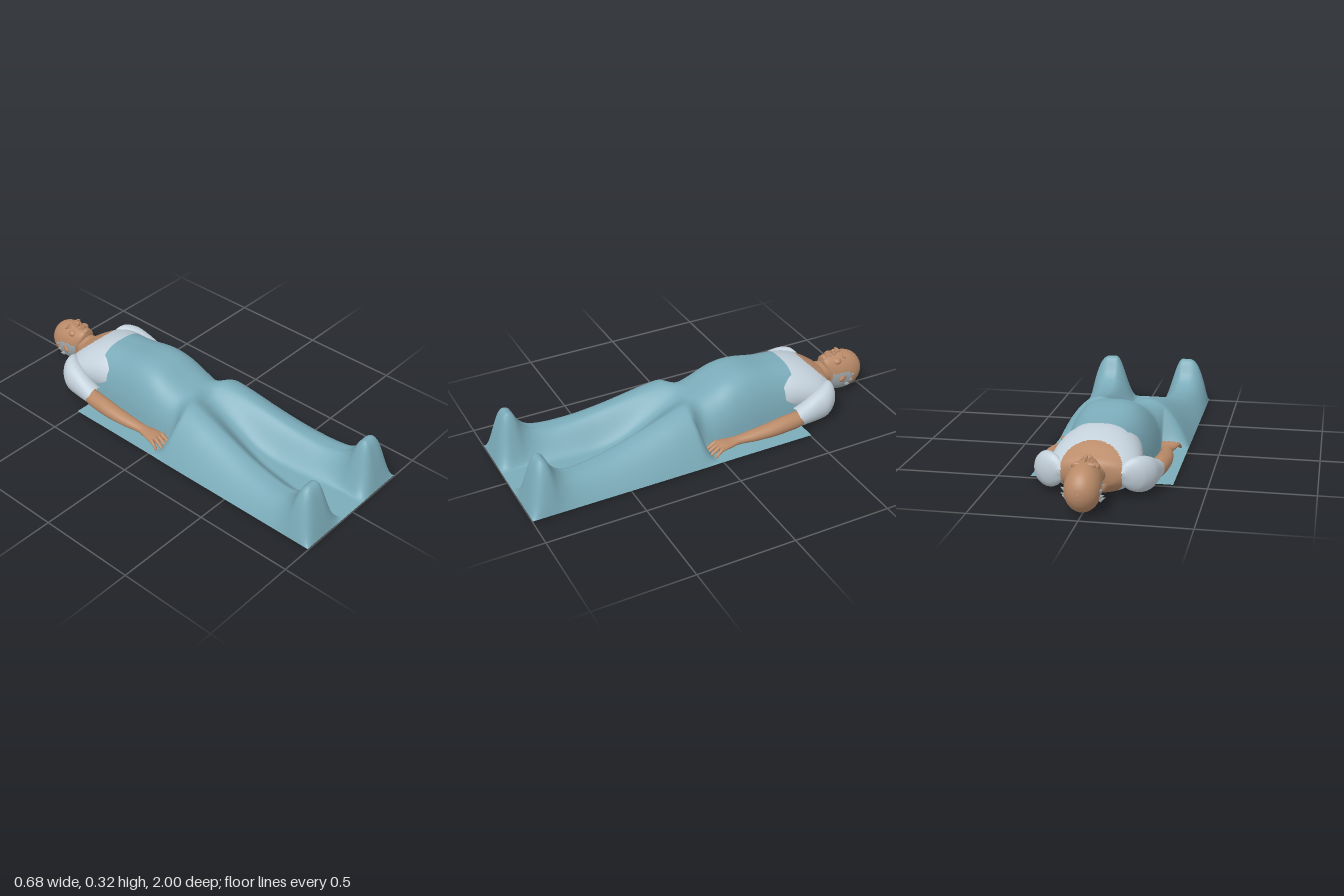
import * as THREE from 'three';

const { smoothstep, lerp } = THREE.MathUtils;
const mat = (name, color) => {
  const m = new THREE.MeshStandardMaterial({ color, side: THREE.DoubleSide });
  m.name = name;
  return m;
};

// Smooth lookup in rows of [z, value, value, ...] sorted by z
function at(rows, z) {
  const last = rows.length - 1;
  let i = 0;
  while (i < last - 1 && z > rows[i + 1][0]) i++;
  const a = rows[i], b = rows[i + 1], p = rows[Math.max(i - 1, 0)], q = rows[Math.min(i + 2, last)];
  const h = b[0] - a[0], t = Math.min(1, Math.max(0, (z - a[0]) / h));
  return a.slice(1).map((va, k) => {
    const vb = b[k + 1];
    const ma = (vb - p[k + 1]) / (b[0] - p[0]) * h, mb = (q[k + 1] - va) / (q[0] - a[0]) * h;
    const t2 = t * t, t3 = t2 * t;
    return (2 * t3 - 3 * t2 + 1) * va + (t3 - 2 * t2 + t) * ma + (3 * t2 - 2 * t3) * vb + (t3 - t2) * mb;
  });
}

// Skin of ellipses along z from rows [z, centreX, centreY, radiusX, radiusY]; rule picks a material per face
function loft(name, rows, mats, { side = 1, sub = 5, n = 32, rule = null } = {}) {
  const pos = [], lists = [[], []], rings = (rows.length - 1) * sub;
  for (let r = 0; r <= rings; r++) {
    const i = Math.min(Math.floor(r / sub), rows.length - 2);
    const z = lerp(rows[i][0], rows[i + 1][0], r / sub - i);
    const [cx, cy, rx, ry] = at(rows, z);
    for (let j = 0; j < n; j++) {
      const a = j / n * Math.PI * 2;
      pos.push(cx * side + Math.max(rx, 0.001) * Math.cos(a), cy + Math.max(ry, 0.001) * Math.sin(a), z);
    }
  }
  const put = (...f) => {
    const c = [0, 1, 2].map(k => (pos[f[0] * 3 + k] + pos[f[1] * 3 + k] + pos[f[2] * 3 + k]) / 3);
    lists[rule && rule(...c) ? 1 : 0].push(...f);
  };
  for (let r = 0; r < rings; r++) for (let j = 0; j < n; j++) {
    const k = (j + 1) % n, a = r * n + j, b = r * n + k;
    put(a, b, b + n);
    put(a, b + n, a + n);
  }
  const g = new THREE.BufferGeometry();
  g.setAttribute('position', new THREE.Float32BufferAttribute(pos, 3));
  g.setIndex(lists[0].concat(lists[1]));
  if (rule) {
    g.addGroup(0, lists[0].length, 0);
    g.addGroup(lists[0].length, lists[1].length, 1);
  }
  g.computeVertexNormals();
  const m = new THREE.Mesh(g, mats);
  m.name = name;
  return m;
}

function blob(name, m, [x, y, z], [sx, sy, sz]) {
  const mesh = new THREE.Mesh(new THREE.SphereGeometry(1, 20, 14), m);
  mesh.name = name;
  mesh.position.set(x, y, z);
  mesh.scale.set(sx, sy, sz);
  return mesh;
}

// Blanket: [z, height, half width] over the torso
const TORSO = [[-0.5, 0.29, 0.2], [-0.4, 0.298, 0.207], [-0.25, 0.322, 0.217], [-0.15, 0.31, 0.22],
  [-0.05, 0.267, 0.217], [0.02, 0.25, 0.205], [0.12, 0.245, 0.2]];
// [z, crest height, crest x, groove height, groove half width] over the legs
const LEGS = [[0, 0.25, 0.1, 0.24, 0], [0.1, 0.246, 0.12, 0.205, 0], [0.2, 0.226, 0.135, 0.155, 0], [0.3, 0.2, 0.145, 0.1, 0.005],
  [0.4, 0.174, 0.155, 0.05, 0.01], [0.5, 0.15, 0.168, 0.02, 0.02], [0.6, 0.133, 0.18, 0.01, 0.03], [0.72, 0.125, 0.195, 0.006, 0.045],
  [0.8, 0.14, 0.203, 0.006, 0.06], [0.85, 0.185, 0.206, 0.006, 0.07], [0.885, 0.254, 0.207, 0.006, 0.075],
  [0.925, 0.256, 0.207, 0.006, 0.075], [0.955, 0.185, 0.207, 0.006, 0.07], [1, 0.008, 0.207, 0.006, 0.06]];
const EDGE = 0.34;

function blanketHeight(x, z) {
  const ax = Math.abs(x);
  const [th, tw] = at(TORSO, z);
  const torso = 0.01 + (th - 0.01) * Math.sqrt(Math.max(0, 1 - (ax / tw) ** 3));
  if (z < 0) return torso;
  const [crest, cx, groove, gw] = at(LEGS, z);
  let leg;
  if (ax < cx) leg = lerp(groove, crest, smoothstep(ax, gw, cx - 0.2 * gw));
  else {
    const flat = cx + 0.02 * smoothstep(z, 0.5, 0.9);
    const t = Math.max(0, (ax - flat) / (EDGE - flat));
    leg = 0.008 + (crest - 0.008) * (1 - t ** lerp(2, 2.5, smoothstep(z, 0.3, 0.9)));
  }
  return lerp(torso, leg, smoothstep(z, 0.02, 0.11));
}

function makeBlanket(m) {
  const g = new THREE.PlaneGeometry(2 * EDGE, 1.5, 120, 140);
  g.rotateX(-Math.PI / 2);
  g.translate(0, 0, 0.25);
  const p = g.attributes.position;
  for (let i = 0; i < p.count; i++) p.setY(i, blanketHeight(p.getX(i), p.getZ(i)));
  g.computeVertexNormals();
  const mesh = new THREE.Mesh(g, m);
  mesh.name = 'blanket';
  return mesh;
}

function makeArm(side, skin, shirt) {
  const g = new THREE.Group();
  g.name = side > 0 ? 'leftArm' : 'rightArm';
  g.add(loft('sleeve', [[-0.73, 0.145, 0.125, 0.01, 0.01], [-0.715, 0.165, 0.12, 0.045, 0.05], [-0.69, 0.19, 0.115, 0.062, 0.078],
    [-0.64, 0.218, 0.105, 0.066, 0.085], [-0.58, 0.233, 0.095, 0.058, 0.075], [-0.52, 0.242, 0.083, 0.052, 0.06],
    [-0.46, 0.246, 0.072, 0.051, 0.048]], shirt, { side }));
  g.add(loft('forearm', [[-0.56, 0.24, 0.08, 0.035, 0.035], [-0.46, 0.258, 0.07, 0.042, 0.041], [-0.38, 0.266, 0.069, 0.043, 0.041],
    [-0.3, 0.269, 0.064, 0.041, 0.036], [-0.2, 0.263, 0.056, 0.035, 0.028], [-0.12, 0.255, 0.05, 0.027, 0.021],
    [-0.08, 0.254, 0.048, 0.035, 0.019], [-0.03, 0.257, 0.05, 0.045, 0.017], [-0.01, 0.258, 0.048, 0.042, 0.013],
    [0, 0.258, 0.046, 0.001, 0.001]], skin, { side }));
  // Fingers: [knuckle x, tip x, tip z]
  for (const [kx, tx, tz] of [[0.224, 0.222, 0.047], [0.246, 0.252, 0.055], [0.268, 0.28, 0.05], [0.289, 0.304, 0.03]]) {
    const row = (t, y, r) => [lerp(-0.03, tz, t), lerp(kx, tx, t), y, r, r];
    g.add(loft('finger', [row(0, 0.05, 0.01), row(0.35, 0.049, 0.0115), row(0.7, 0.035, 0.0095), row(0.94, 0.024, 0.007),
      row(1, 0.022, 0.001)], skin, { side, n: 12, sub: 3 }));
  }
  g.add(loft('thumb', [[-0.09, 0.235, 0.042, 0.014, 0.012], [-0.05, 0.217, 0.035, 0.015, 0.014], [-0.01, 0.2, 0.024, 0.012, 0.011],
    [0.025, 0.188, 0.016, 0.009, 0.008], [0.034, 0.186, 0.014, 0.001, 0.001]], skin, { side, n: 12, sub: 3 }));
  return g;
}

function makeHead(skin, hair) {
  const g = new THREE.Group();
  g.name = 'head';
  // Skull profile: [z, face y, back y, half width] from crown to chin
  const skull = [[-1, 0.118, 0.112, 0.002], [-0.996, 0.143, 0.086, 0.026], [-0.982, 0.172, 0.055, 0.051], [-0.955, 0.2, 0.026, 0.071],
    [-0.915, 0.219, 0.009, 0.081], [-0.87, 0.225, 0.005, 0.081], [-0.83, 0.224, 0.014, 0.075], [-0.8, 0.223, 0.042, 0.066],
    [-0.778, 0.219, 0.105, 0.052], [-0.766, 0.213, 0.155, 0.034], [-0.76, 0.196, 0.186, 0.002]];
  const patch = (x, y, z) => y > 0.02 && y < 0.135 && z > -0.915 + 0.4 * Math.abs(y - 0.09) && z < -0.8 && Math.abs(x) > 0.03;
  g.add(loft('skull', skull.map(([z, top, back, rx]) => [z, 0, (top + back) / 2, rx, (top - back) / 2]),
    [skin, hair], { n: 64, sub: 7, rule: patch }));
  g.add(loft('neck', [[-0.85, 0, 0.12, 0.055, 0.06], [-0.78, 0, 0.125, 0.059, 0.062], [-0.74, 0, 0.127, 0.064, 0.062],
    [-0.68, 0, 0.135, 0.085, 0.065]], skin));
  // Face
  g.add(blob('noseBridge', skin, [0, 0.222, -0.853], [0.009, 0.015, 0.028]));
  g.add(blob('noseTip', skin, [0, 0.232, -0.835], [0.011, 0.015, 0.011]));
  g.add(blob('upperLip', skin, [0, 0.222, -0.808], [0.024, 0.011, 0.006]));
  g.add(blob('lowerLip', skin, [0, 0.222, -0.797], [0.02, 0.01, 0.006]));
  g.add(blob('chin', skin, [0, 0.211, -0.776], [0.023, 0.015, 0.014]));
  for (const s of [-1, 1]) {
    g.add(blob('nostril', skin, [s * 0.012, 0.224, -0.833], [0.008, 0.011, 0.008]));
    g.add(blob('browRidge', skin, [s * 0.031, 0.212, -0.88], [0.025, 0.013, 0.008]));
    g.add(blob('eyelid', skin, [s * 0.031, 0.21, -0.864], [0.014, 0.01, 0.007]));
    g.add(blob('cheek', skin, [s * 0.042, 0.194, -0.835], [0.022, 0.018, 0.024]));
    const ear = blob('ear', skin, [s * 0.083, 0.105, -0.853], [0.009, 0.018, 0.029]);
    ear.rotation.y = s * 0.35;
    g.add(ear);
    // Hair tufts beside and above the ears
    for (const [y, z, l] of [[0.085, -0.905, 0.03], [0.115, -0.915, 0.024], [0.065, -0.885, 0.03]]) {
      const tuft = new THREE.Mesh(new THREE.ConeGeometry(0.012, l, 6), hair);
      tuft.name = 'hairTuft';
      tuft.position.set(s * 0.085, y, z);
      tuft.rotation.z = -s * 1.1;
      g.add(tuft);
    }
  }
  return g;
}

export function createModel() {
  const skin = mat('skin', 0xb98a68), shirt = mat('shirtCloth', 0xc3d0da);
  const cloth = mat('blanketCloth', 0x7babb9), hair = mat('greyHair', 0xa0a8ac);
  const model = new THREE.Group();
  model.name = 'recliningPatient';
  model.add(makeBlanket(cloth));
  // Chest with a scooped neckline front and back
  const scoop = (x, y, z) => (x / 0.142) ** 2 + ((z + 0.735) / 0.103) ** 2 < 1;
  model.add(loft('shirtBody', [[-0.745, 0, 0.125, 0.07, 0.05], [-0.73, 0, 0.122, 0.135, 0.068], [-0.7, 0, 0.12, 0.185, 0.09],
    [-0.65, 0, 0.123, 0.21, 0.118], [-0.58, 0, 0.135, 0.21, 0.134], [-0.5, 0, 0.145, 0.198, 0.139],
    [-0.435, 0, 0.146, 0.186, 0.134]], [shirt, skin], { n: 120, sub: 12, rule: scoop }));
  for (const side of [1, -1]) model.add(makeArm(side, skin, shirt));
  model.add(makeHead(skin, hair));
  return model;
}
